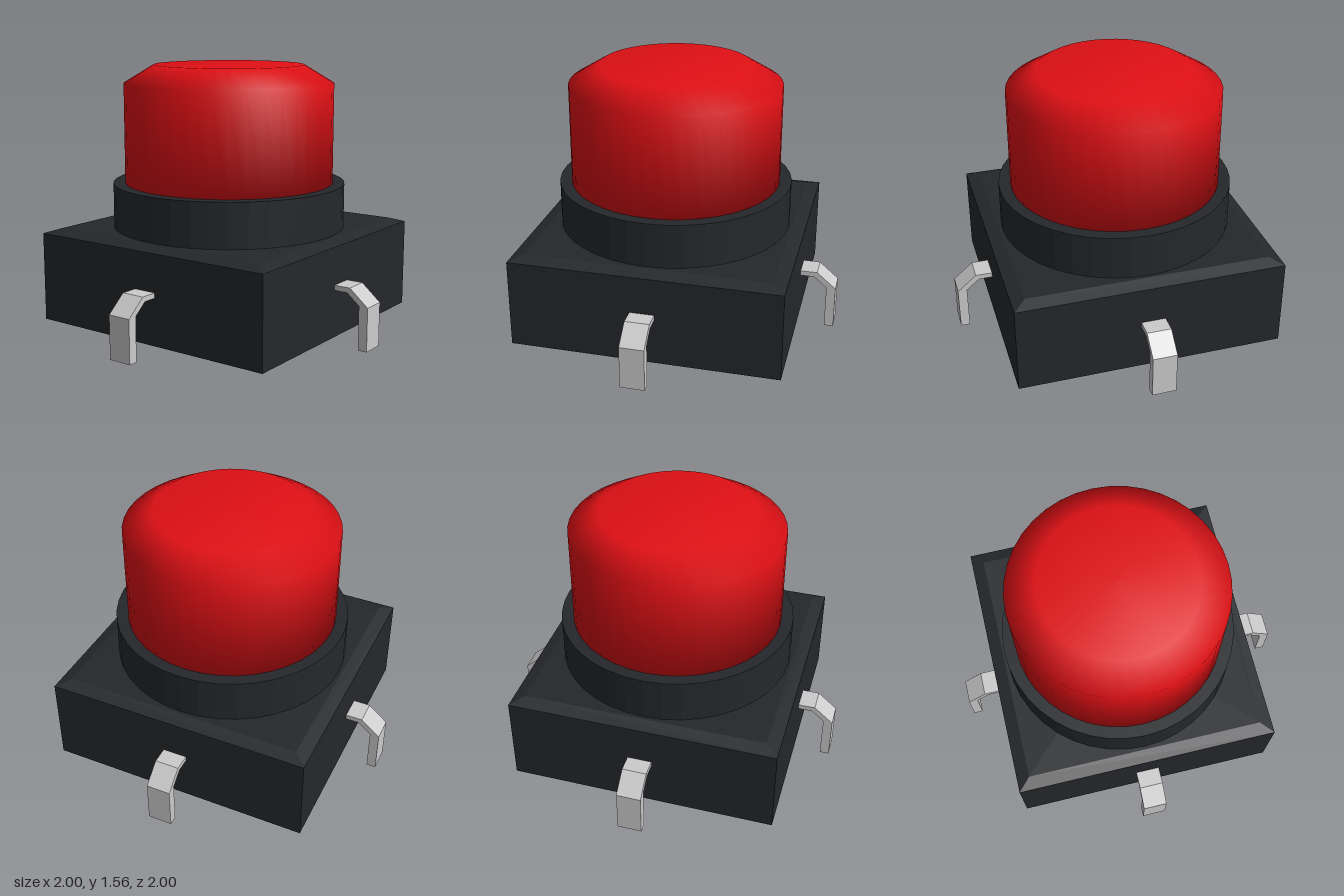
import * as THREE from 'three';

const V = (pts) => pts.map(([x, y]) => new THREE.Vector2(x, y));

function addMesh(parent, name, geometry, material) {
  const mesh = new THREE.Mesh(geometry, material);
  mesh.name = name;
  parent.add(mesh);
  return mesh;
}

export function createModel() {
  const group = new THREE.Group();
  group.name = 'pushButtonSwitch';

  const plastic = new THREE.MeshStandardMaterial({ color: 0x25272b, flatShading: true });
  const red = new THREE.MeshStandardMaterial({ color: 0xe01015 });
  const metal = new THREE.MeshStandardMaterial({ color: 0xcccccc, flatShading: true });

  // Square housing with a shallow bevel around its top: a four-sided lathe
  const body = V([[0, 0.045], [0.787, 0.045], [0.787, 0.572], [0.712, 0.598], [0, 0.598]]);
  body.forEach((p) => { p.x *= Math.SQRT2; });
  addMesh(group, 'housing', new THREE.LatheGeometry(body, 4, Math.PI / 4), plastic);

  // Round collar that the cap sits in
  const collar = new THREE.CylinderGeometry(0.693, 0.693, 0.28, 40);
  addMesh(group, 'collar', collar, plastic).position.y = 0.72;

  // Smooth red cap with a chamfered rim
  const cap = V([[0, 0.85], [0.623, 0.85], [0.623, 1.45], [0.445, 1.558], [0, 1.558]]);
  addMesh(group, 'cap', new THREE.LatheGeometry(cap, 40), red);

  // Bent contact legs, one in the middle of each side
  const width = 0.143;
  const legShape = new THREE.Shape(V([
    [0.76, 0.322], [0.868, 0.322], [0.945, 0.258], [0.945, 0],
    [1, 0], [1, 0.255], [0.886, 0.352], [0.76, 0.352],
  ]));
  const legGeometry = new THREE.ExtrudeGeometry(legShape, { depth: width, bevelEnabled: false });
  legGeometry.translate(0, 0, -width / 2);
  ['leftLeg', 'backLeg', 'rightLeg', 'frontLeg'].forEach((name, i) => {
    addMesh(group, name, legGeometry, metal).rotation.y = (i * Math.PI) / 2;
  });

  return group;
}
